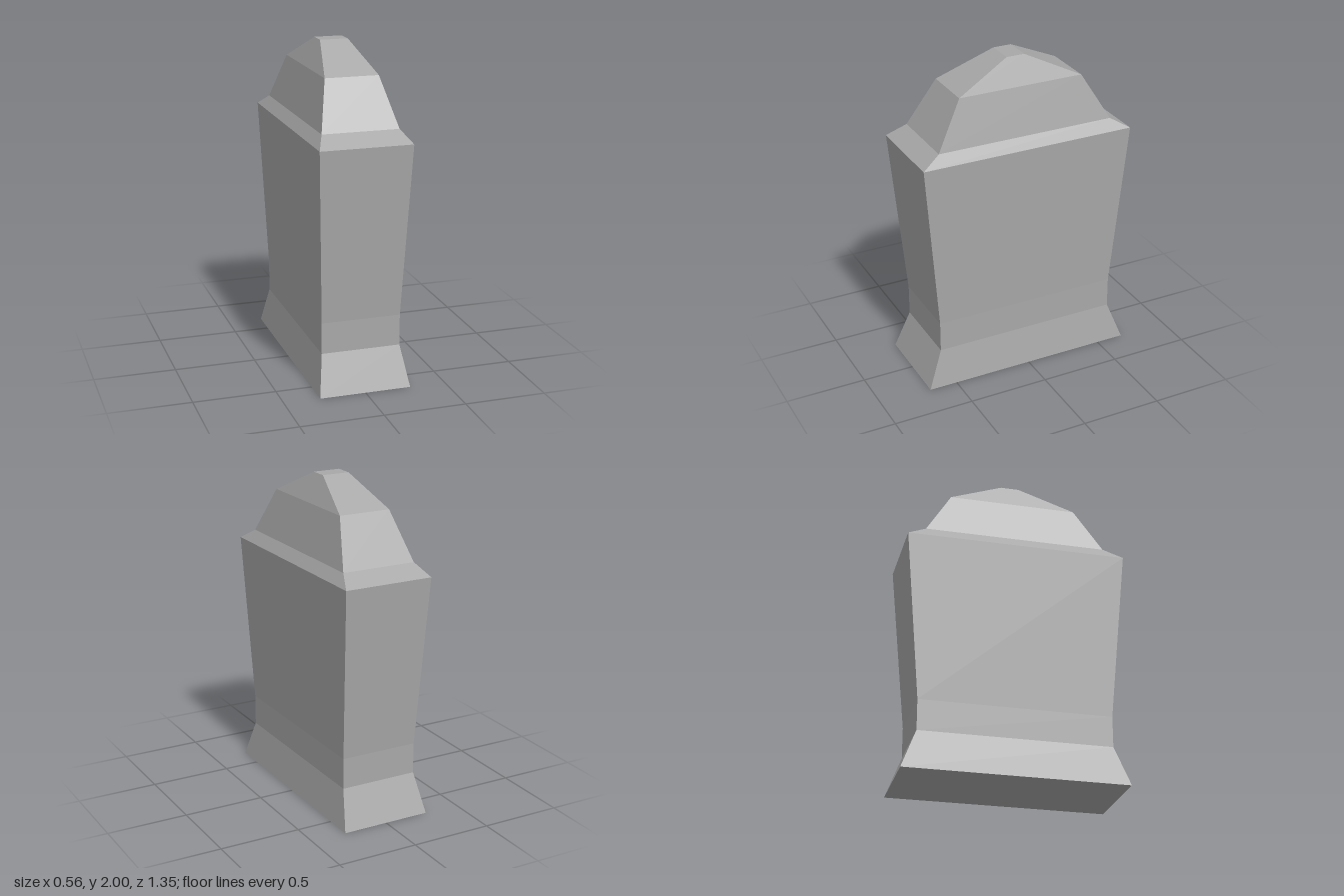
import * as THREE from 'three';

// Lofts rectangular rings [y, halfWidth, halfDepth] into a faceted shell.
function loftRings(rings, { bottom = false, top = false } = {}) {
  const corners = rings.map(([y, w, d]) => [[w, y, d], [w, y, -d], [-w, y, -d], [-w, y, d]]);
  const positions = [];
  const quad = (a, b, c, d) => positions.push(...a, ...b, ...c, ...a, ...c, ...d);

  for (let r = 0; r < corners.length - 1; r++) {
    const low = corners[r], high = corners[r + 1];
    for (let i = 0; i < 4; i++) {
      const j = (i + 1) % 4;
      quad(low[i], low[j], high[j], high[i]);
    }
  }
  if (bottom) quad(...[...corners[0]].reverse());
  if (top) quad(...corners[corners.length - 1]);

  const geometry = new THREE.BufferGeometry();
  geometry.setAttribute('position', new THREE.Float32BufferAttribute(positions, 3));
  geometry.computeVertexNormals();
  return geometry;
}

export function createModel() {
  const group = new THREE.Group();
  group.name = 'stonePillar';

  const stone = new THREE.MeshStandardMaterial({ color: 0xa8a8a8 });
  stone.name = 'grey stone';

  const addPart = (name, rings, caps) => {
    const mesh = new THREE.Mesh(loftRings(rings, caps), stone);
    mesh.name = name;
    group.add(mesh);
  };

  // Flared foot
  addPart('base', [[0, 0.28, 0.676], [0.24, 0.242, 0.584]], { bottom: true });

  // Straight neck, then a shaft widening upwards
  addPart('shaft', [[0.24, 0.242, 0.584], [0.43, 0.242, 0.584], [1.485, 0.28, 0.676]]);

  // Sloped ledge and tapering crown
  addPart('crown', [
    [1.485, 0.28, 0.676],
    [1.553, 0.233, 0.56],
    [1.838, 0.163, 0.395],
    [2, 0.086, 0.057],
  ], { top: true });

  return group;
}
